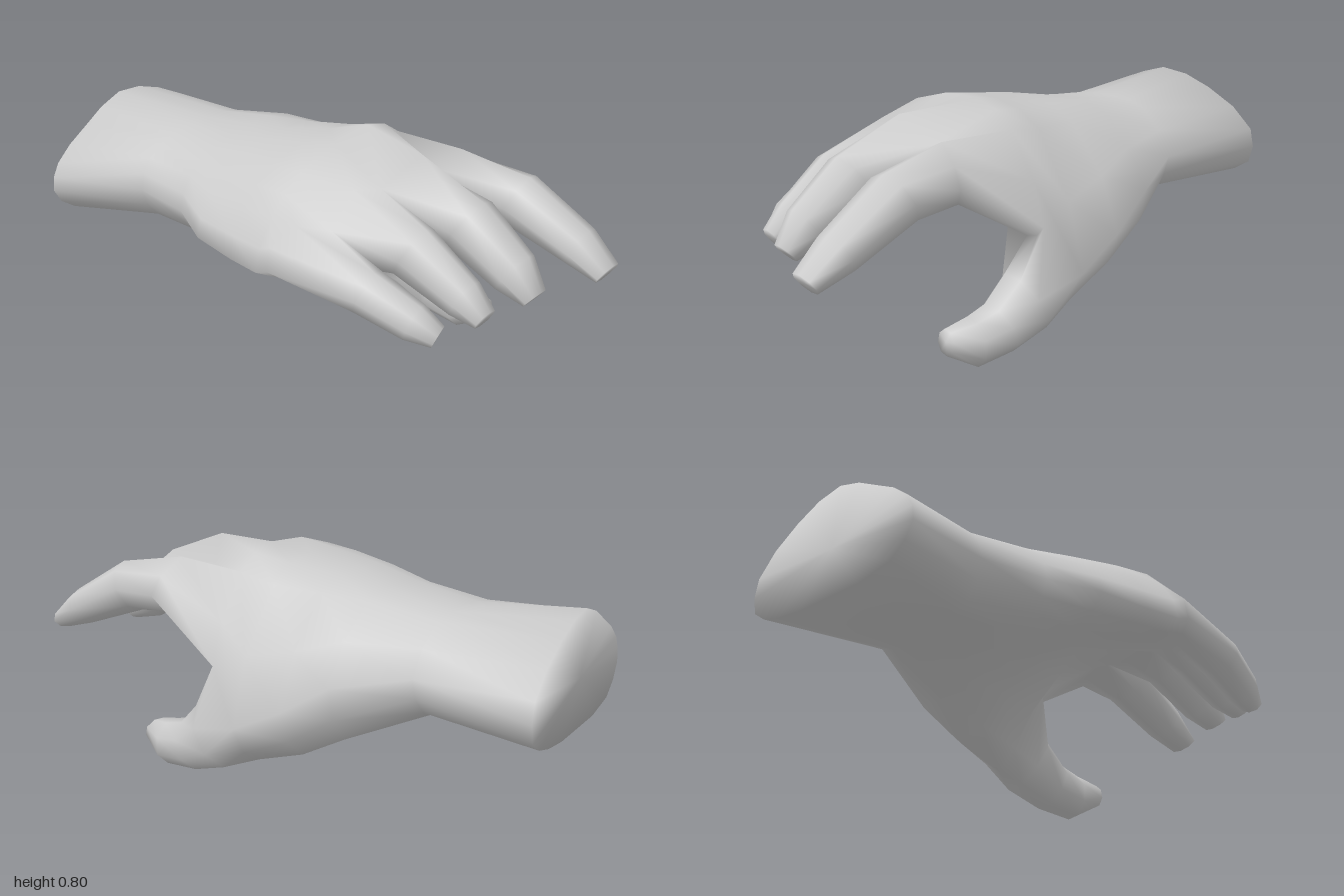
import * as THREE from 'three';

const material = new THREE.MeshStandardMaterial({ color: 0xcccccc });
const vec = ([x, y, z]) => new THREE.Vector3(x, y, z);

// Wrist and palm sections: x, slant of x along z, then [z, y] from the little-finger edge,
// over each knuckle line to the thumb edge, and back under the hollow palm
const palmSections = [
  [-0.966, 0.1, [[.455, .42], [.42, .52], [.27, .62], [.08, .705], [-.14, .66], [-.34, .53], [-.34, .4], [-.2, .335], [.05, .31], [.36, .32]]],
  [-0.57, 0, [[.32, .48], [.27, .59], [.16, .65], [-.02, .67], [-.17, .655], [-.31, .5], [-.24, .37], [-.08, .335], [.1, .335], [.25, .36]]],
  [-0.33, 0, [[.35, .48], [.3, .6], [.18, .67], [0, .705], [-.2, .69], [-.42, .45], [-.33, .25], [-.11, .28], [.08, .33], [.28, .38]]],
  [-0.16, 0, [[.43, .46], [.36, .59], [.21, .7], [0, .735], [-.22, .69], [-.455, .34], [-.33, .155], [-.1, .28], [.1, .36], [.29, .38]]],
  [0.02, 0, [[.455, .45], [.38, .61], [.24, .72], [-.04, .765], [-.25, .7], [-.475, .25], [-.34, .095], [-.15, .27], [.1, .42], [.3, .41]]],
  [0.15, 0, [[.47, .45], [.39, .62], [.25, .73], [-.09, .798], [-.26, .725], [-.42, .43], [-.34, .38], [-.14, .46], [.1, .47], [.3, .43]]],
];

// Knuckle line from the little finger to the index finger: boundary, middle, boundary, ...
const knuckleTop = [[.2, .55, .455], [.24, .615, .38], [.31, .58, .28], [.33, .705, .2], [.37, .69, .11],
  [.43, .78, -.03], [.37, .69, -.14], [.43, .735, -.25], [.45, .68, -.34]].map(vec);
const knuckleBottom = [[.22, .435, .42], [.24, .43, .36], [.29, .46, .28], [.32, .48, .19], [.38, .56, .1],
  [.38, .53, -.02], [.37, .57, -.14], [.37, .54, -.25], [.43, .55, -.33]].map(vec);
// Side points: outer hand edge, three webs, index edge
const webs = [[.2, .47, .47], null, null, null, [.46, .615, -.38]].map((p, k) =>
  p ? vec(p) : knuckleTop[2 * k].clone().lerp(knuckleBottom[2 * k], 0.5));

// Finger stations beyond the knuckle: [x, y, z, half height, half width]
const fingers = {
  littleFinger: [[.5, .455, .335, .075, .075], [.66, .39, .3, .063, .06], [.735, .355, .275, .035, .04]],
  ringFinger: [[.55, .545, .165, .095, .085], [.74, .44, .15, .07, .063], [.82, .395, .15, .035, .045]],
  middleFinger: [[.62, .595, -.03, .1, .095], [.8, .48, -.035, .08, .075], [.88, .415, -.035, .035, .05]],
  indexFinger: [[.64, .605, -.285, .09, .095], [.87, .495, -.31, .065, .08], [.98, .43, -.31, .035, .06]],
};
const thumbStations = [[.18, .165, -.37, .12, .1], [.29, .1, -.365, .09, .09],
  [.4, .08, -.36, .08, .08], [.495, .1, -.34, .04, .052]];

// Twenty points round the palm, two per control point
function palmRing([x, slant, points]) {
  const controls = points.map(([z, y]) => new THREE.Vector3(x + slant * z, y, z));
  const curve = new THREE.CatmullRomCurve3(controls, true);
  return Array.from({ length: 20 }, (_, j) => curve.getPoint(j / 20));
}

// Eight-sided rings square to the finger's path; phase turns the first corner
function fingerRings(stations, phase) {
  const centres = stations.map(vec);
  return stations.map(([, , , height, width], i) => {
    const t = centres[Math.min(i + 1, centres.length - 1)].clone()
      .sub(centres[Math.max(i - 1, 0)]).normalize();
    const side = new THREE.Vector3(0, 0, 1).addScaledVector(t, -t.z).normalize();
    const up = side.clone().cross(t);
    return Array.from({ length: 8 }, (_, j) => {
      const a = (j + phase) / 8 * Math.PI * 2;
      return centres[i].clone()
        .addScaledVector(side, Math.cos(a) * width * 1.05)
        .addScaledVector(up, Math.sin(a) * height * 1.05);
    });
  });
}

export function createModel() {
  const points = [];
  const ids = new Map();
  const parts = {};
  const id = (p) => {
    if (!ids.has(p)) ids.set(p, points.push(p) - 1);
    return ids.get(p);
  };

  // Quads between successive rings, leaving out those that isOpen picks
  const skin = (rings, isOpen = () => false) => {
    const index = [];
    for (let i = 0; i < rings.length - 1; i++) {
      const n = rings[i].length;
      for (let j = 0; j < n; j++) {
        if (isOpen(i, j)) continue;
        const k = (j + 1) % n;
        const [a, b, c, d] = [rings[i][j], rings[i + 1][j], rings[i][k], rings[i + 1][k]].map(id);
        index.push(a, b, c, c, b, d);
      }
    }
    return index;
  };
  // Fan that closes a ring; reversed for the far end
  const cap = (ring, reversed) => {
    const centre = ring.reduce((s, p) => s.add(p), new THREE.Vector3()).divideScalar(ring.length);
    return ring.flatMap((p, j) => {
      const next = ring[(j + 1) % ring.length];
      return (reversed ? [centre, next, p] : [centre, p, next]).map(id);
    });
  };
  const digit = (base, stations, phase) => {
    const rings = [base, ...fingerRings(stations, phase)];
    return [...skin(rings), ...cap(rings[rings.length - 1], true)];
  };

  // Wrist and palm, open where the thumb leaves the ball of the hand
  const palm = palmSections.map(palmRing);
  const knuckles = [webs[0], ...knuckleTop, webs[4], ...[...knuckleBottom].reverse()];
  parts.wristAndPalm = [
    ...cap(palm[0], false),
    ...skin([...palm, knuckles], (i, j) => i === 4 && j >= 10 && j < 13),
  ];

  // Fingers grow from the knuckle line and share its corners
  Object.entries(fingers).forEach(([name, stations], k) => {
    const t = knuckleTop.slice(2 * k, 2 * k + 3);
    const b = knuckleBottom.slice(2 * k, 2 * k + 3).reverse();
    parts[name] = digit([webs[k], ...t, webs[k + 1], ...b], stations, 0);
  });

  // Thumb grows from the opening in the palm
  const thumbBase = [...palm[5].slice(10, 14).reverse(), ...palm[4].slice(10, 14)];
  parts.thumb = digit(thumbBase, thumbStations, 0.5);

  // Normals are worked out over the whole skin so the parts blend
  const whole = new THREE.BufferGeometry().setFromPoints(points);
  whole.setIndex(Object.values(parts).flat());
  whole.computeVertexNormals();

  const hand = new THREE.Group();
  hand.name = 'hand';
  for (const [name, index] of Object.entries(parts)) {
    const geometry = new THREE.BufferGeometry();
    geometry.setAttribute('position', whole.getAttribute('position'));
    geometry.setAttribute('normal', whole.getAttribute('normal'));
    geometry.setIndex(index);
    const mesh = new THREE.Mesh(geometry, material);
    mesh.name = name;
    hand.add(mesh);
  }
  return hand;
}
